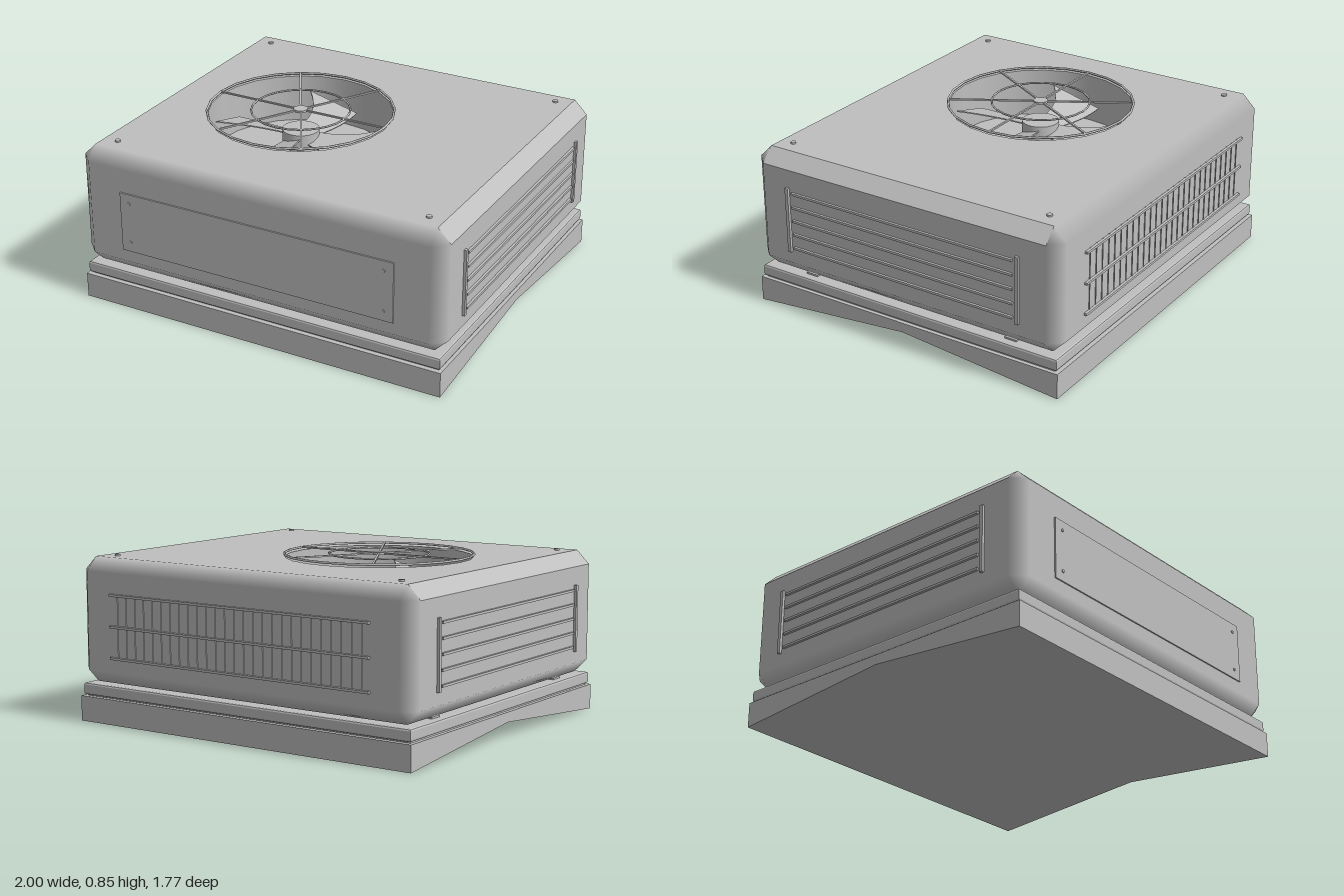
import * as THREE from 'three';

const FAN_X = -0.235, HOLE_R = 0.468, TOP = 0.83;

// Chamfered box without its top face; soft chamfers, except crisp ones along the upper left and right edges
function cabinetGeometry(half, c) {
  const pos = [], nor = [];
  const vert = (axis, s) => new THREE.Vector3(...s.map((k, i) => k * (half[i] - (i === axis ? 0 : c))));
  const axisNormal = (axis, s) => new THREE.Vector3().setComponent(axis, s[axis]);
  const tri = (p, n) => {
    const f = p[1].clone().sub(p[0]).cross(p[2].clone().sub(p[0]));
    const order = f.dot(p[0]) < 0 ? [0, 2, 1] : [0, 1, 2];
    for (const i of order) { pos.push(...p[i].toArray()); nor.push(...n[i].toArray()); }
  };
  const quad = (p, n) => {
    tri([p[0], p[1], p[2]], [n[0], n[1], n[2]]);
    tri([p[0], p[2], p[3]], [n[0], n[2], n[3]]);
  };
  const signs = (a, u, b, v, d, w) => {
    const s = [0, 0, 0];
    s[a] = u; s[b] = v; s[d] = w;
    return s;
  };
  for (let a = 0; a < 3; a++) {
    const b = (a + 1) % 3, d = (a + 2) % 3;
    for (const u of [-1, 1]) {
      // flat sides
      if (!(a === 1 && u === 1)) {
        const s = [[-1, -1], [1, -1], [1, 1], [-1, 1]].map(([v, w]) => signs(a, u, b, v, d, w));
        quad(s.map(k => vert(a, k)), s.map(k => axisNormal(a, k)));
      }
      // edge chamfers between axes a and b
      for (const v of [-1, 1]) {
        const s0 = signs(a, u, b, v, d, -1), s1 = signs(a, u, b, v, d, 1);
        const crisp = a === 0 && v === 1;
        const flat = axisNormal(a, s0).add(axisNormal(b, s0)).normalize();
        quad([vert(a, s0), vert(b, s0), vert(b, s1), vert(a, s1)],
          [axisNormal(a, s0), axisNormal(b, s0), axisNormal(b, s1), axisNormal(a, s1)].map(n => crisp ? flat : n));
      }
    }
  }
  // corners
  for (const x of [-1, 1]) for (const y of [-1, 1]) for (const z of [-1, 1]) {
    const s = [x, y, z];
    tri([0, 1, 2].map(i => vert(i, s)), [0, 1, 2].map(i => axisNormal(i, s)));
  }
  const g = new THREE.BufferGeometry();
  g.setAttribute('position', new THREE.Float32BufferAttribute(pos, 3));
  g.setAttribute('normal', new THREE.Float32BufferAttribute(nor, 3));
  return g;
}

export function createModel() {
  const model = new THREE.Group();
  model.name = 'rooftopCooler';
  const metal = new THREE.MeshStandardMaterial({ color: 0xbfbfbf, side: THREE.DoubleSide });
  metal.name = 'greyMetal';

  const add = (name, geometry, x = 0, y = 0, z = 0, parent = model) => {
    const m = new THREE.Mesh(geometry, metal);
    m.name = name;
    m.position.set(x, y, z);
    parent.add(m);
    return m;
  };
  const box = (name, w, h, d, x, y, z, parent) => add(name, new THREE.BoxGeometry(w, h, d), x, y, z, parent);
  const group = (name, x = 0, y = 0, z = 0) => {
    const g = new THREE.Group();
    g.name = name;
    g.position.set(x, y, z);
    model.add(g);
    return g;
  };

  // Base wedge with a shallow ridge cut into its underside
  const wedge = new THREE.Shape([[-0.865, 0], [0, 0.078], [0.865, 0], [0.865, 0.128], [-0.865, 0.128]]
    .map(p => new THREE.Vector2(...p)));
  add('roofBase', new THREE.ExtrudeGeometry(wedge, { depth: 1.96, bevelEnabled: false })
    .translate(0, 0, -0.98).rotateY(Math.PI / 2));
  box('gasket', 1.92, 0.012, 1.68, 0, 0.13, 0);

  // Tray with a small bevel
  const b = 0.01;
  const tray = new THREE.Shape([[-1, -1], [1, -1], [1, 1], [-1, 1]]
    .map(([x, z]) => new THREE.Vector2(x * (0.97 - b), z * (0.853 - b))));
  add('tray', new THREE.ExtrudeGeometry(tray, {
    depth: 0.06 - 2 * b, bevelThickness: b, bevelSize: b, bevelSegments: 2,
  }).rotateX(-Math.PI / 2), 0, 0.134 + b, 0);
  for (const z of [-0.58, 0.58]) box('skid', 1.86, 0.012, 0.065, 0, 0.197, z);

  // Cabinet and its top with the round fan opening
  const half = [0.986, 0.315, 0.87], c = 0.068;
  add('cabinet', cabinetGeometry(half, c), 0, TOP - half[1], 0);
  const tx = half[0] - c, tz = half[2] - c;
  const top = new THREE.Shape([[-tx, -tz], [tx, -tz], [tx, tz], [-tx, tz]].map(p => new THREE.Vector2(...p)));
  top.holes.push(new THREE.Path(Array.from({ length: 24 }, (_, i) => {
    const a = -i * Math.PI / 12;
    return new THREE.Vector2(FAN_X + HOLE_R * Math.cos(a), HOLE_R * Math.sin(a));
  })));
  add('cabinetTop', new THREE.ShapeGeometry(top).rotateX(-Math.PI / 2), 0, TOP, 0);

  // Fan well
  add('fanDuct', new THREE.CylinderGeometry(HOLE_R, HOLE_R, 0.25, 24, 1, true), FAN_X, TOP - 0.125, 0);
  add('ductFloor', new THREE.CircleGeometry(HOLE_R, 24).rotateX(-Math.PI / 2), FAN_X, TOP - 0.25, 0);

  // Four-bladed fan on a motor
  const fan = group('fan', FAN_X, 0.7, 0);
  add('fanHub', new THREE.CylinderGeometry(0.095, 0.095, 0.08, 20), 0, 0, 0, fan);
  add('fanMotor', new THREE.CylinderGeometry(0.07, 0.07, 0.1, 20), 0, -0.07, 0, fan);
  const outline = new THREE.Shape();
  outline.moveTo(0.07, 0.045);
  outline.quadraticCurveTo(0.27, 0.05, 0.4, 0.18);
  outline.lineTo(0.425, -0.095);
  outline.quadraticCurveTo(0.27, -0.11, 0.07, -0.06);
  const bladeGeo = new THREE.ExtrudeGeometry(outline, { depth: 0.006, bevelEnabled: false, curveSegments: 8 })
    .rotateX(-Math.PI / 2 + 0.3);
  for (let i = 0; i < 4; i++) add('fanBlade', bladeGeo, 0, 0, 0, fan).rotation.y = i * Math.PI / 2;

  // Wire guard over the fan
  const guard = group('fanGuard', FAN_X, 0.844, 0);
  for (const [r, t] of [[0.472, 0.006], [0.25, 0.005]])
    add('guardRing', new THREE.TorusGeometry(r, t, 6, 24).rotateX(Math.PI / 2), 0, 0, 0, guard);
  add('guardCentre', new THREE.CylinderGeometry(0.036, 0.036, 0.012, 16), 0, 0, 0, guard);
  for (let i = 0; i < 3; i++) box('guardSpoke', 0.944, 0.008, 0.01, 0, 0, 0, guard).rotation.y = i * Math.PI / 3;

  // Screws in the top corners
  for (const x of [-0.84, 0.84]) for (const z of [-0.73, 0.73])
    add('topScrew', new THREE.CylinderGeometry(0.014, 0.014, 0.008, 12), x, TOP + 0.004, z);

  // Front access panel with screws
  box('frontPanel', 1.48, 0.31, 0.008, 0, 0.485, 0.873);
  for (const x of [-0.69, 0.69]) for (const y of [0.38, 0.59])
    add('panelScrew', new THREE.CylinderGeometry(0.008, 0.008, 0.005, 10).rotateX(Math.PI / 2), x, y, 0.879);

  // Side louvres
  for (const s of [-1, 1]) {
    const louvres = group('sideLouvres', s * 0.991, 0, 0);
    for (let i = 0; i < 5; i++) box('louvre', 0.014, 0.012, 1.26, 0, 0.355 + i * 0.0725, 0, louvres);
    for (const z of [-0.655, 0.655]) box('louvrePost', 0.018, 0.34, 0.018, 0, 0.5, z, louvres);
  }

  // Back wire grille
  const grille = group('backGrille', 0, 0, -0.878);
  for (const y of [0.34, 0.497, 0.654]) box('grilleBar', 1.53, 0.012, 0.014, 0, y, 0, grille);
  for (let i = -13; i <= 13; i++) box('grilleWire', 0.004, 0.33, 0.004, i * 0.0555, 0.497, 0.006, grille);

  return model;
}
